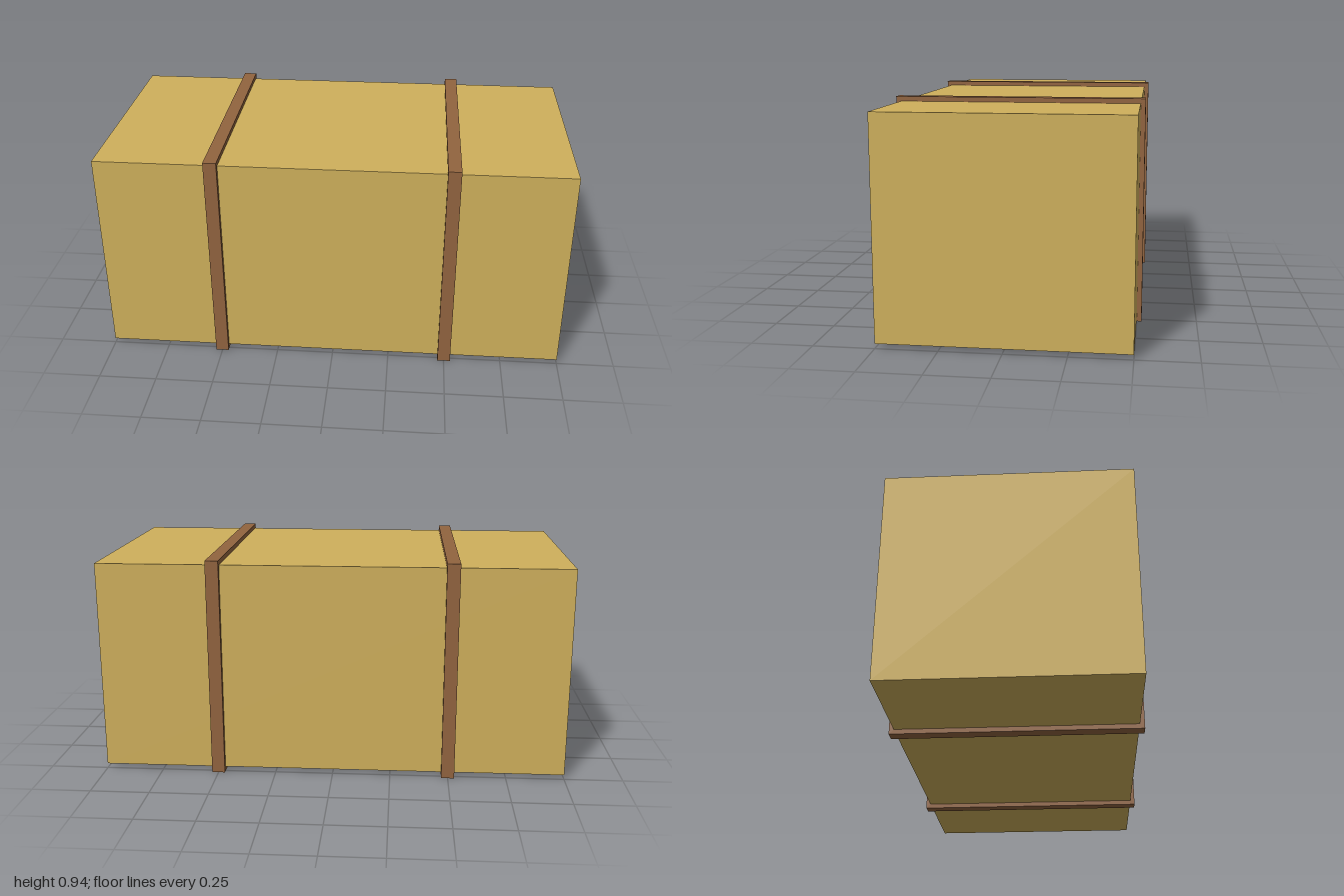
import * as THREE from 'three';

const BALE = { length: 2, height: 0.9, depth: 1 };
const STRAP = { thickness: 0.02, width: 0.056, offset: 0.5 };

export function createModel() {
  const model = new THREE.Group();
  model.name = 'strappedBale';
  const straw = new THREE.MeshStandardMaterial({ color: 0xcfb05c });
  const leather = new THREE.MeshStandardMaterial({ color: 0x92643f });
  const t = STRAP.thickness;
  const centreY = BALE.height / 2 + t;

  function addBox(name, w, h, d, x, material) {
    const mesh = new THREE.Mesh(new THREE.BoxGeometry(w, h, d), material);
    mesh.name = name;
    mesh.position.set(x, centreY, 0);
    model.add(mesh);
  }

  // Main block, lifted by the strap thickness
  addBox('bale', BALE.length, BALE.height, BALE.depth, 0, straw);

  // Two straps wrapped all the way round the block
  for (const [name, side] of [['leftStrap', 1], ['rightStrap', -1]]) {
    addBox(name, STRAP.width, BALE.height + 2 * t, BALE.depth + 2 * t, side * STRAP.offset, leather);
  }
  return model;
}
